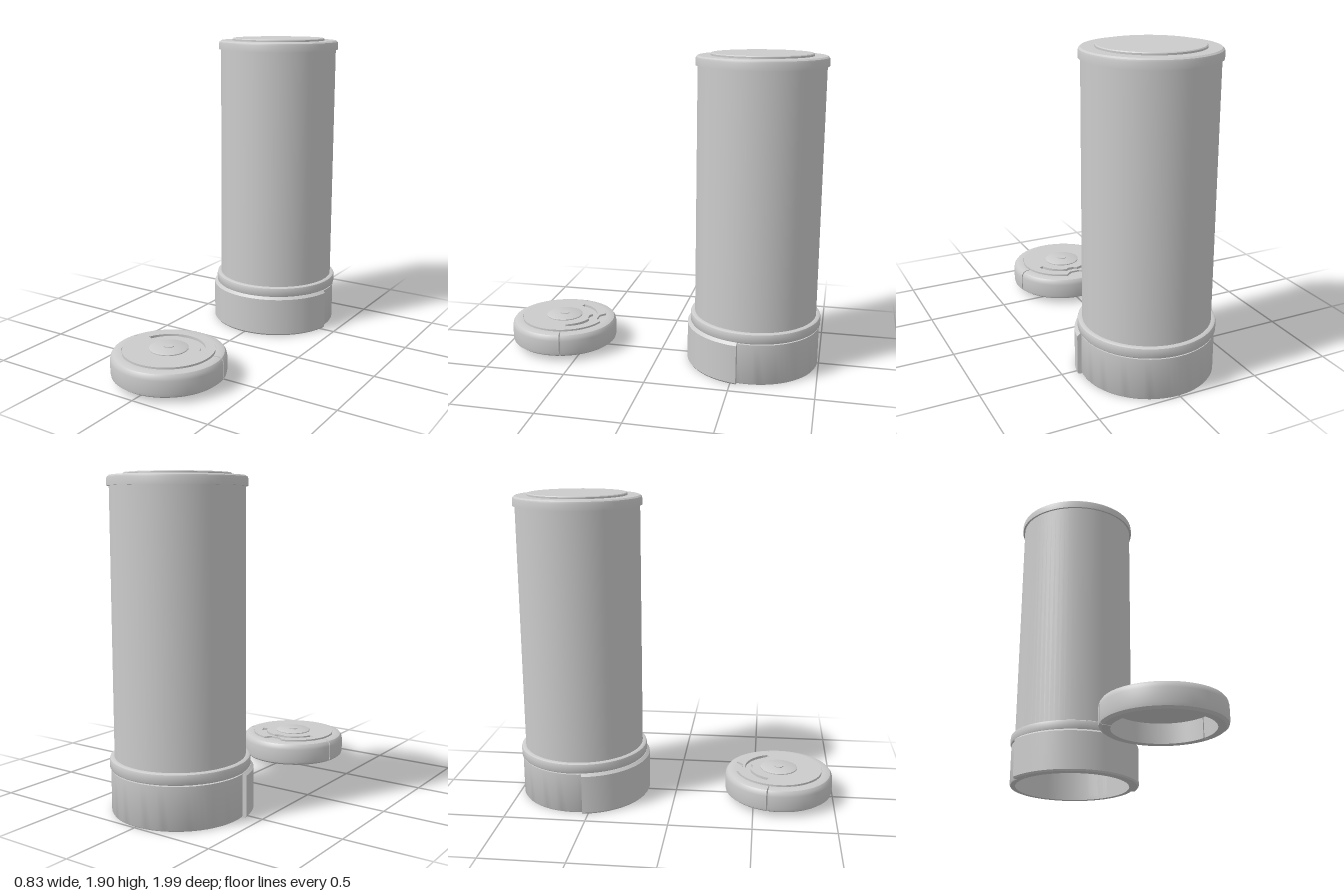
import * as THREE from 'three';
import { toCreasedNormals } from 'three/addons/utils/BufferGeometryUtils.js';

const grey = new THREE.MeshStandardMaterial({ color: 0xcccccc });
const greyBoth = new THREE.MeshStandardMaterial({ color: 0xcccccc, side: THREE.DoubleSide });
const vec = (pts) => pts.map(([x, y]) => new THREE.Vector2(x, y));

function mesh(name, geometry, material = grey) {
  const m = new THREE.Mesh(geometry, material);
  m.name = name;
  return m;
}

// Turned part from a counter-clockwise (radius, y) profile
function turned(name, pts, start = 0, length = Math.PI * 2, segments = 72) {
  const geo = new THREE.LatheGeometry(vec(pts), segments, start, length);
  return mesh(name, toCreasedNormals(geo, 0.6));
}

// Part of a ring with both cut ends closed
function sector(name, pts, start, length) {
  const group = new THREE.Group();
  group.name = name;
  group.add(turned(name + 'Wall', [...pts, pts[0]], start, length));
  for (const angle of [start, start + length]) {
    const end = mesh(name + 'End', new THREE.ShapeGeometry(new THREE.Shape(vec(pts))), greyBoth);
    end.rotation.y = angle - Math.PI / 2;
    group.add(end);
  }
  return group;
}

// Flat plate in plan (shape +y points to the back)
function plate(name, shape, y, height) {
  const geo = new THREE.ExtrudeGeometry(shape, { depth: height, bevelEnabled: false, curveSegments: 48 });
  geo.rotateX(-Math.PI / 2);
  geo.translate(0, y, 0);
  return mesh(name, toCreasedNormals(geo, 0.6));
}

function createContainer() {
  const g = new THREE.Group();
  g.name = 'container';

  // Hollow tube, open at the bottom
  g.add(turned('tube', [[0.36, 0.02], [0.375, 0.02], [0.375, 1.85]]));
  g.add(turned('tubeInside', [[0, 1.83], [0.36, 1.83], [0.36, 0.02]].map(([r, y]) => [r, y])));

  // Top cap with its raised round panel
  g.add(turned('topCap', [
    [0.37, 1.833], [0.388, 1.833], [0.388, 1.872], [0.385, 1.882], [0.375, 1.89], [0, 1.89],
  ]));
  g.add(turned('topPanel', [[0.3, 1.885], [0.3, 1.9], [0.295, 1.905], [0, 1.905]]));

  // Collar above the base
  g.add(turned('collar', [
    [0.36, 0.258], [0.398, 0.258], [0.402, 0.265], [0.402, 0.305], [0.399, 0.315], [0.39, 0.32], [0.37, 0.32],
  ]));

  // Base band, and the thicker sleeve around its front
  g.add(turned('baseBand', [
    [0.36, 0.25], [0.36, 0], [0.39, 0], [0.395, 0.008], [0.395, 0.25], [0.36, 0.25],
  ]));
  g.add(sector('frontSleeve', [
    [0.39, 0], [0.412, 0], [0.42, 0.01], [0.42, 0.245], [0.402, 0.26], [0.39, 0.26],
  ], -1.42, 2.84));
  return g;
}

function createLid() {
  const g = new THREE.Group();
  g.name = 'lid';

  // Rounded rim in two pieces, with a thin slit on each side
  const rim = [
    [0.275, 0.03], [0.318, 0.03], [0.334, 0.042], [0.338, 0.06], [0.338, 0.135],
    [0.334, 0.155], [0.324, 0.169], [0.304, 0.176], [0.275, 0.176],
  ];
  const slit = 1.775;
  g.add(sector('frontRim', rim, -slit, slit * 2));
  g.add(sector('backRim', rim, slit + 0.024, (Math.PI - slit - 0.024) * 2));

  // Thin deck under the top plate
  g.add(mesh('deck', new THREE.CylinderGeometry(0.277, 0.277, 0.025, 72).translate(0, 0.1565, 0)));

  // Top plate with a notch at the back and a curved groove
  const notch = 0.26;
  const top = new THREE.Shape();
  top.absarc(0, 0, 0.27, Math.PI / 2 + notch, Math.PI * 2.5 - notch, false);
  top.lineTo(0.032, 0.228);
  top.lineTo(-0.032, 0.228);
  top.closePath();
  const groove = new THREE.Path();
  const a0 = 0.35, mid = Math.PI / 2;
  groove.absarc(0, 0, 0.213, a0, Math.PI - a0, false);
  groove.absarc(0, 0, 0.182, Math.PI - a0, mid + 0.22, true);
  groove.absarc(0, 0, 0.165, mid + 0.12, mid - 0.12, true);
  groove.absarc(0, 0, 0.182, mid - 0.22, a0, true);
  groove.closePath();
  top.holes.push(groove);
  g.add(plate('topPlate', top, 0.165, 0.02));

  // Catch filling the notch
  const catchShape = new THREE.Shape(vec([[-0.028, 0.232], [0.028, 0.232], [0.066, 0.264], [0.066, 0.28], [-0.066, 0.28], [-0.066, 0.264]]));
  g.add(plate('catch', catchShape, 0.16, 0.0155));

  // Centre hub, its hexagonal pin and the boss underneath
  g.add(turned('hub', [[0.115, 0.18], [0.115, 0.19], [0.105, 0.195], [0, 0.195]], 0, Math.PI * 2, 48));
  g.add(mesh('hubPin', new THREE.CylinderGeometry(0.03, 0.03, 0.012, 6).translate(0, 0.193, 0)));
  g.add(mesh('underBoss', new THREE.CylinderGeometry(0.105, 0.105, 0.02, 48).translate(0, 0.137, 0)));
  return g;
}

export function createModel() {
  const model = new THREE.Group();
  const container = createContainer();
  container.position.z = -0.597;
  const lid = createLid();
  lid.position.z = 0.655;
  model.add(container, lid);
  return model;
}
